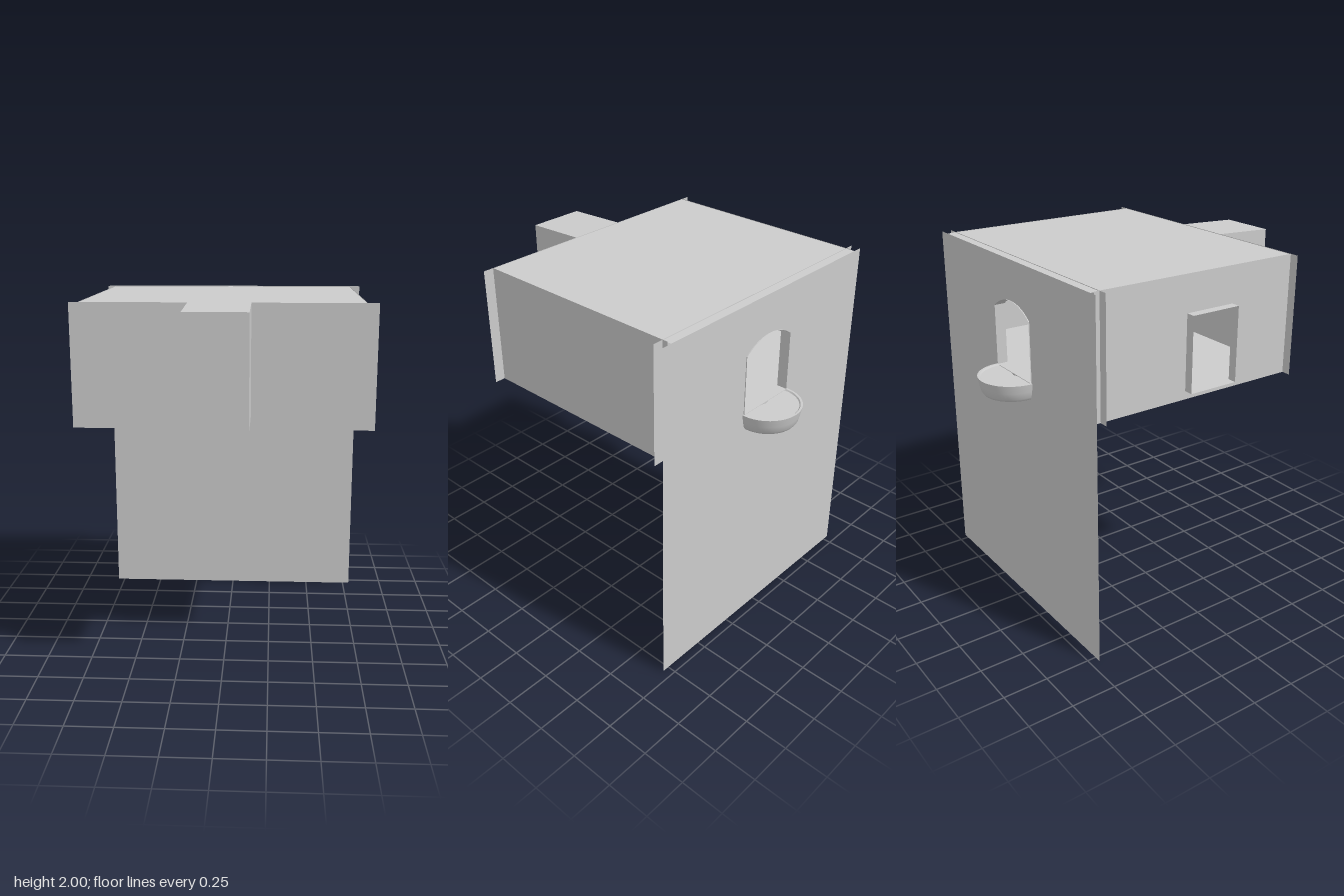
import * as THREE from 'three';
import { toCreasedNormals } from 'three/addons/utils/BufferGeometryUtils.js';

const material = new THREE.MeshStandardMaterial({ color: 0xcccccc, side: THREE.DoubleSide });

// Outline of the arched window, usable as a hole or as a path for its lining
function archPath() {
  const w = 0.18, bottom = 1.38, top = 1.78, spring = 1.715;
  const h = top - spring;
  const r = (w * w + h * h) / (2 * h);
  const a = Math.asin(w / r);
  const path = new THREE.Path();
  path.moveTo(-w, bottom);
  path.lineTo(w, bottom);
  path.lineTo(w, spring);
  path.absarc(0, top - r, r, Math.PI / 2 - a, Math.PI / 2 + a, false);
  path.lineTo(-w, bottom);
  return path;
}

function rectPath(Type, x0, x1, y0, y1) {
  const p = new Type();
  p.moveTo(x0, y0);
  p.lineTo(x1, y0);
  p.lineTo(x1, y1);
  p.lineTo(x0, y1);
  p.closePath();
  return p;
}

// Flat sheet in the xy plane, with optional openings
function sheet(x0, x1, y0, y1, holes = []) {
  const shape = rectPath(THREE.Shape, x0, x1, y0, y1);
  shape.holes.push(...holes);
  return new THREE.ShapeGeometry(shape, 16);
}

// Open lining swept along z from a closed outline
function lining(path, z0, z1) {
  const pts = path.getPoints(16);
  const pos = [];
  for (let i = 0; i < pts.length; i++) {
    const a = pts[i], b = pts[(i + 1) % pts.length];
    if (a.distanceTo(b) < 1e-6) continue;
    pos.push(a.x, a.y, z0, b.x, b.y, z0, b.x, b.y, z1);
    pos.push(a.x, a.y, z0, b.x, b.y, z1, a.x, a.y, z1);
  }
  const g = new THREE.BufferGeometry();
  g.setAttribute('position', new THREE.Float32BufferAttribute(pos, 3));
  return toCreasedNormals(g, 0.6);
}

export function createModel() {
  const model = new THREE.Group();
  const add = (name, geometry) => {
    const mesh = new THREE.Mesh(geometry, material);
    mesh.name = name;
    model.add(mesh);
    return mesh;
  };

  const left = 0.73, right = -0.74, front = 0.55, inner = -0.645, outer = -0.70;
  const base = 1.345, top = 2;

  // Tall facade and the room wall just behind it, both with the arched window
  add('facade', sheet(-0.79, 0.79, 0, top, [archPath()])).position.z = outer;
  add('windowWall', sheet(-0.79, 0.79, base, top, [archPath()])).position.z = inner;
  add('windowLining', lining(archPath(), inner, outer - 0.005));

  // Front wall, overlapping the side walls
  add('frontWall', sheet(-0.79, 0.79, base, top)).position.z = front;

  // Side walls; sheets are turned so their local x runs along -z
  const doorHole = (Type) => rectPath(Type, -0.16, 0.13, 1.39, 1.80);
  const sides = [['leftWall', left, []], ['rightWall', right, [doorHole(THREE.Path)]]];
  for (const [name, x, holes] of sides) {
    const wall = add(name, sheet(-front, 0.675, base, top, holes));
    wall.rotation.y = Math.PI / 2;
    wall.position.x = x;
  }

  // Doorway lining projecting from the right wall
  const doorway = add('doorwayLining', lining(doorHole(THREE.Path), -0.79, right));
  doorway.rotation.y = Math.PI / 2;

  // Floor and ceiling sheets
  for (const [name, y] of [['floor', 1.365], ['ceiling', 1.997]]) {
    const slab = new THREE.PlaneGeometry(left - right, front - outer);
    slab.rotateX(-Math.PI / 2);
    add(name, slab).position.set((left + right) / 2, y, (front + outer) / 2);
  }

  // Chimney block on the front, its top sloping slightly down outward
  const profile = new THREE.Shape();
  profile.moveTo(-front, 1.405);
  profile.lineTo(-0.90, 1.405);
  profile.lineTo(-0.90, 1.985);
  profile.lineTo(-front, 2);
  profile.closePath();
  const block = new THREE.ExtrudeGeometry(profile, { depth: 0.325, bevelEnabled: false });
  block.rotateY(Math.PI / 2);
  add('chimneyBlock', block).position.x = -0.18;

  // Rounded basin under the window
  const basin = [
    [0, 1.28], [0.15, 1.28], [0.163, 1.285], [0.173, 1.3], [0.182, 1.335],
    [0.19, 1.38], [0.178, 1.38], [0.172, 1.373], [0, 1.373],
  ].map(([r, y]) => new THREE.Vector2(r, y));
  const bowl = new THREE.LatheGeometry(basin, 32, Math.PI / 2 - 0.3, Math.PI + 0.6);
  add('basin', toCreasedNormals(bowl, 0.7)).position.z = -0.71;

  return model;
}
